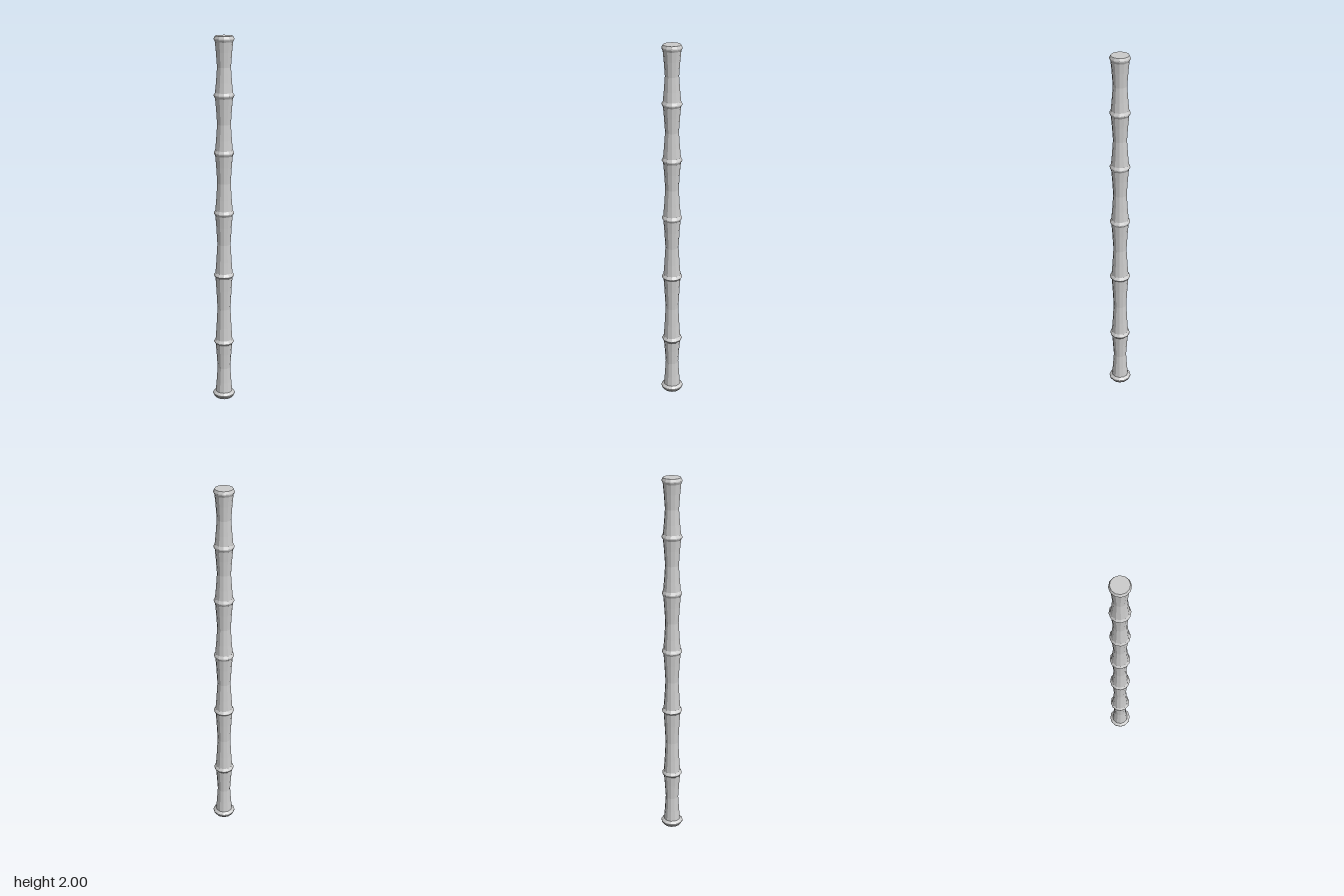
import * as THREE from 'three';

const SIDES = 12;
const material = new THREE.MeshStandardMaterial({ color: 0xcccccc, flatShading: true });

// Revolve [radius, height] pairs, listed bottom to top
function turned(name, profile) {
  const points = profile.map(([r, y]) => new THREE.Vector2(r, y));
  const mesh = new THREE.Mesh(new THREE.LatheGeometry(points, SIDES), material);
  mesh.name = name;
  return mesh;
}

export function createModel() {
  const group = new THREE.Group();
  group.name = 'bambooPole';

  // Joint heights and the widest radius of each joint
  const joints = [
    [0.02, 0.061], [0.335, 0.055], [0.725, 0.055], [1.075, 0.054],
    [1.4, 0.053], [1.7, 0.053], [1.985, 0.052],
  ];
  const half = 0.015;
  const neck = 0.046;

  joints.forEach(([y, r], i) => {
    const first = i === 0;
    const last = i === joints.length - 1;

    // Bevelled joint ring, closed at the two ends of the pole
    const ring = [[neck, y - half], [r, y - 0.003], [r, y + 0.002], [neck, y + half]];
    if (first) ring.splice(0, 2, [0, 0], [0.05, 0], [r, 0.016]);
    if (last) ring.push([0, y + half]);
    turned('jointRing', ring).name = 'jointRing' + i;
    group.add(turned('jointRing' + (i + 1), ring));

    // Waisted stem section up to the next joint
    if (!last) {
      const y0 = y + half;
      const y1 = joints[i + 1][0] - half;
      const stem = [[0, neck], [0.2, 0.041], [0.5, 0.0355], [0.8, 0.041], [1, neck]]
        .map(([t, radius]) => [radius, y0 + (y1 - y0) * t]);
      group.add(turned('stemSection' + (i + 1), stem));
    }
  });

  return group;
}
